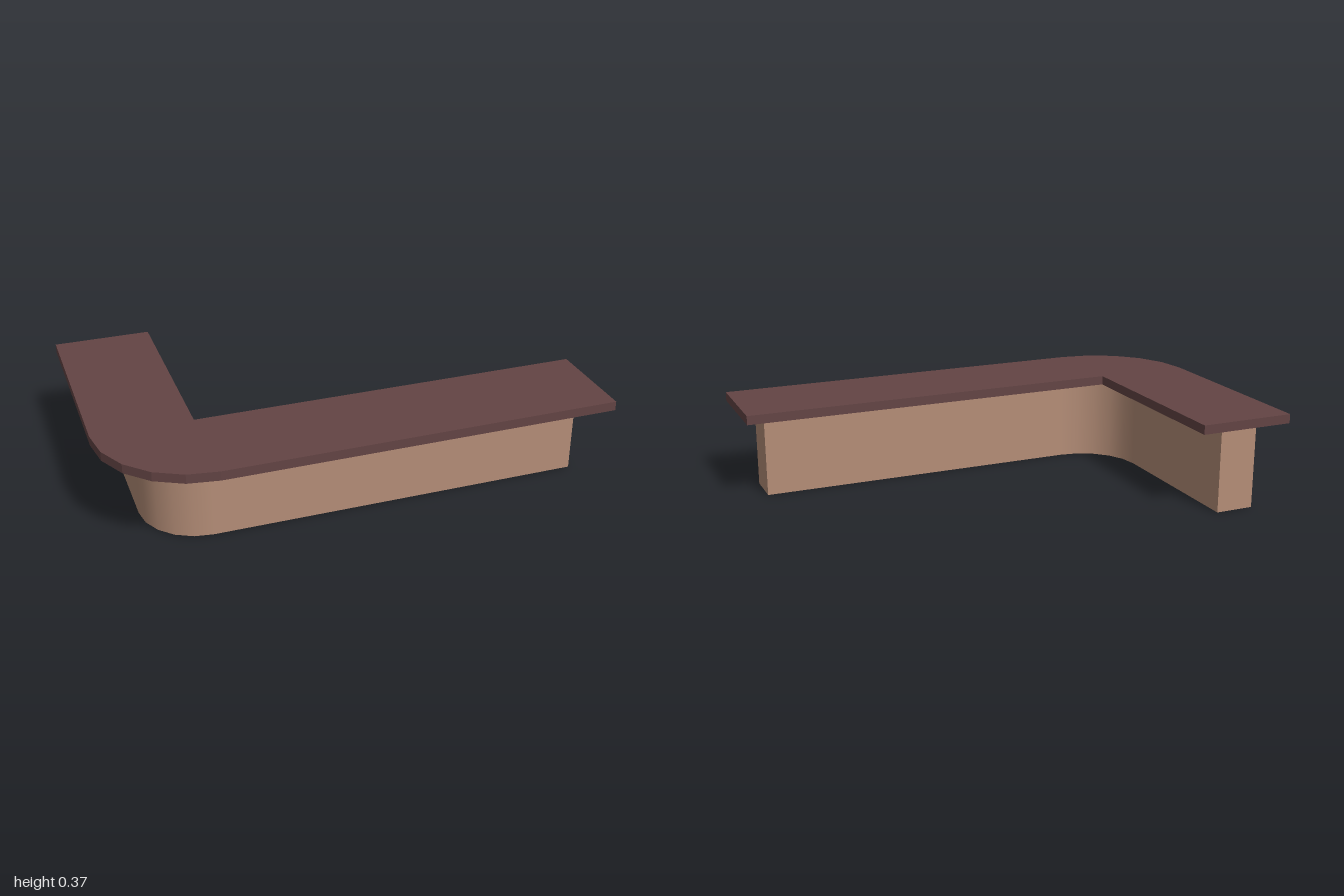
import * as THREE from 'three';

const ARC_STEPS = 5;

// Quarter arc around (cx, cz) from the -x side to the +z side: [x, z, normalX, normalZ]
function cornerArc(cx, cz, r) {
  return Array.from({ length: ARC_STEPS + 1 }, (_, i) => {
    const a = (i / ARC_STEPS) * Math.PI / 2;
    const nx = -Math.cos(a), nz = Math.sin(a);
    return [cx + r * nx, cz + r * nz, nx, nz];
  });
}

// Upright ribbon through plan points, with smooth normals; side = -1 faces the inside of the bend
function wall(points, height, side) {
  const pos = [], nor = [], idx = [];
  points.forEach(([x, z, nx, nz], i) => {
    pos.push(x, 0, z, x, height, z);
    nor.push(side * nx, 0, side * nz, side * nx, 0, side * nz);
    if (i === 0) return;
    const a = 2 * i - 2, b = a + 1, c = a + 2, d = a + 3;
    if (side > 0) idx.push(a, c, d, a, d, b);
    else idx.push(a, d, c, a, b, d);
  });
  const g = new THREE.BufferGeometry();
  g.setAttribute('position', new THREE.Float32BufferAttribute(pos, 3));
  g.setAttribute('normal', new THREE.Float32BufferAttribute(nor, 3));
  g.setIndex(idx);
  return g;
}

export function createModel() {
  const model = new THREE.Group();
  const topMat = new THREE.MeshStandardMaterial({ color: 0x634444 });
  topMat.name = 'dark brown top';
  const baseMat = new THREE.MeshStandardMaterial({ color: 0xb48d77, side: THREE.DoubleSide });
  baseMat.name = 'tan panel';

  const add = (name, geometry, material) => {
    const mesh = new THREE.Mesh(geometry, material);
    mesh.name = name;
    model.add(mesh);
    return mesh;
  };

  const back = -0.62, baseH = 0.334, topH = 0.038;
  const endX = 0.915, outX = -0.84, inX = -0.68, outZ = 0.46, inZ = 0.3, r = 0.24;

  // L-shaped counter top with a faceted outer corner
  const outline = [
    [-1, back], ...cornerArc(-0.6, 0.22, 0.4),
    [1, 0.62], [1, 0.22], [-0.6, 0.22], [-0.6, back],
  ].map(([x, z]) => new THREE.Vector2(x, -z));
  const slab = new THREE.ExtrudeGeometry(new THREE.Shape(outline), { depth: topH, bevelEnabled: false });
  slab.rotateX(-Math.PI / 2).translate(0, baseH, 0);
  add('counterTop', slab, topMat);

  // Hollow base: two curved walls, open underneath
  const run = (x, z) => [
    [x, back, -1, 0], ...cornerArc(x + r, z - r, r), [endX, z, 0, 1],
  ];
  add('outerPanel', wall(run(outX, outZ), baseH, 1), baseMat);
  add('innerPanel', wall(run(inX, inZ), baseH, -1), baseMat);

  // Flat panels closing both ends of the base
  add('sideEndPanel', wall([[endX, outZ, 1, 0], [endX, inZ, 1, 0]], baseH, 1), baseMat);
  add('backEndPanel', wall([[inX, back, 0, -1], [outX, back, 0, -1]], baseH, 1), baseMat);

  return model;
}
